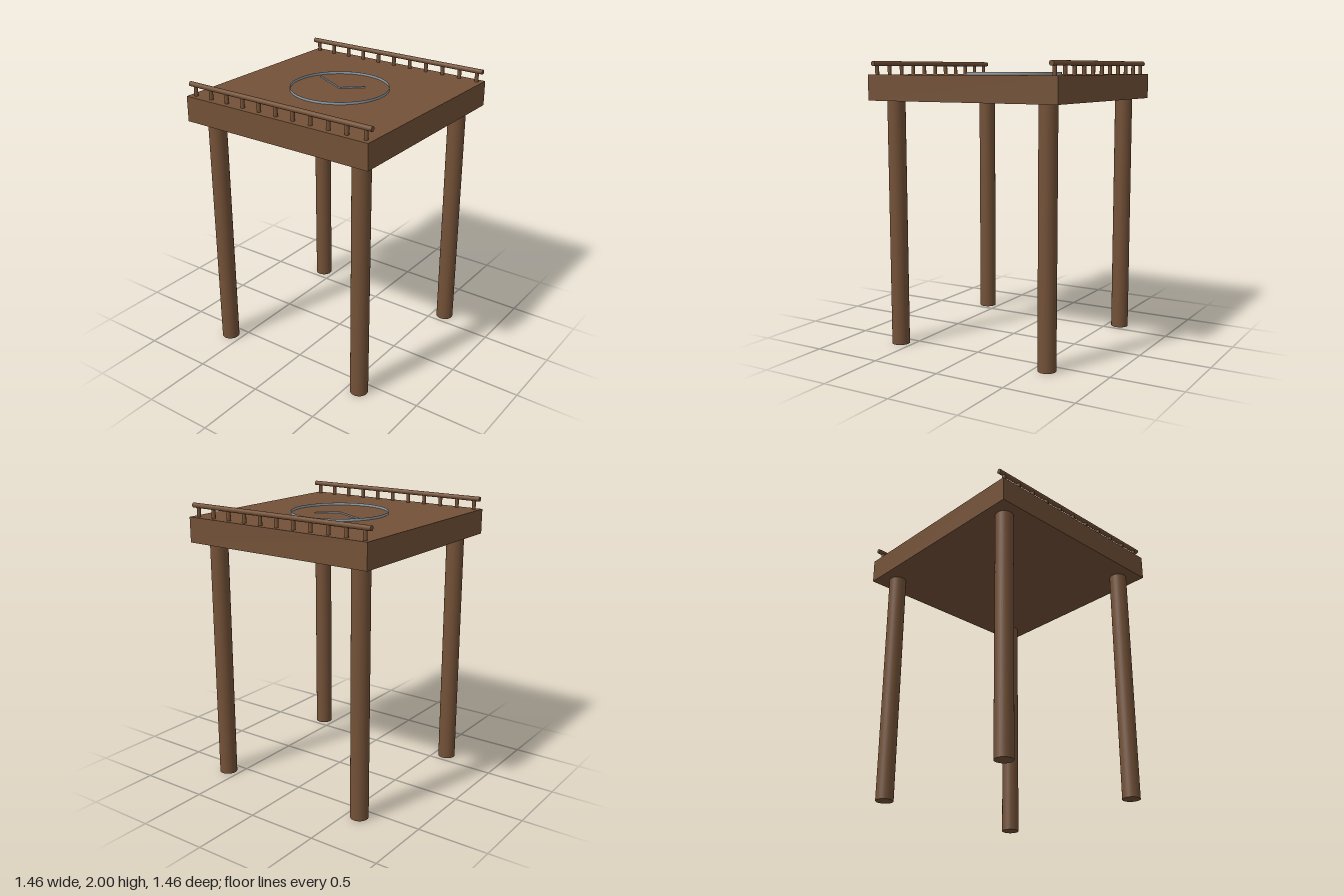
import * as THREE from 'three';

export function createModel() {
  const group = new THREE.Group();
  const wood = new THREE.MeshStandardMaterial({ color: 0x735137 });
  wood.name = 'brown wood';
  const metal = new THREE.MeshStandardMaterial({ color: 0x93a0aa });
  metal.name = 'grey metal';

  const HALF = 0.728, TOP = 1.908, UNDER = 1.732;

  function add(name, geometry, material, x, y, z) {
    const mesh = new THREE.Mesh(geometry, material);
    mesh.name = name;
    mesh.position.set(x, y, z);
    group.add(mesh);
    return mesh;
  }

  // Table slab
  add('tableTop', new THREE.BoxGeometry(HALF * 2, TOP - UNDER, HALF * 2), wood, 0, (TOP + UNDER) / 2, 0);

  // Four round legs
  const legGeometry = new THREE.CylinderGeometry(0.0625, 0.0625, UNDER, 32);
  for (const x of [-0.593, 0.593]) {
    for (const z of [-0.593, 0.593]) add('leg', legGeometry, wood, x, UNDER / 2, z);
  }

  // Round rails on small posts along the front and back edges
  const railRadius = 0.017, railZ = 0.683, postHeight = 0.07;
  const railGeometry = new THREE.CylinderGeometry(railRadius, railRadius, HALF * 2, 20).rotateZ(Math.PI / 2);
  const postGeometry = new THREE.CylinderGeometry(0.0137, 0.0137, postHeight, 16);
  for (const z of [-railZ, railZ]) {
    add('rail', railGeometry, wood, 0, 2 - railRadius, z);
    for (let i = -5; i <= 5; i++) add('railPost', postGeometry, wood, i * 0.1365, TOP + postHeight / 2, z);
  }

  // Thin upright dial ring
  const outer = 0.34, inner = 0.337, ringHeight = 0.017;
  const ringShape = new THREE.Shape().absarc(0, 0, outer, 0, Math.PI * 2, false);
  ringShape.holes.push(new THREE.Path().absarc(0, 0, inner, 0, Math.PI * 2, true));
  const ringGeometry = new THREE.ExtrudeGeometry(ringShape, {
    depth: ringHeight, bevelEnabled: false, curveSegments: 64,
  }).rotateX(-Math.PI / 2);
  add('dialRing', ringGeometry, metal, 0, TOP, 0);

  // Dial hands running from the centre to their tips
  function addHand(name, tipX, tipZ) {
    const length = Math.hypot(tipX, tipZ);
    const geometry = new THREE.BoxGeometry(length, 0.009, 0.007).translate(length / 2, 0.0045, 0);
    add(name, geometry, metal, 0, TOP, 0).rotation.y = Math.atan2(-tipZ, tipX);
  }
  addHand('minuteHand', -0.26, -0.135);
  addHand('hourHand', 0.132, -0.113);

  return group;
}
